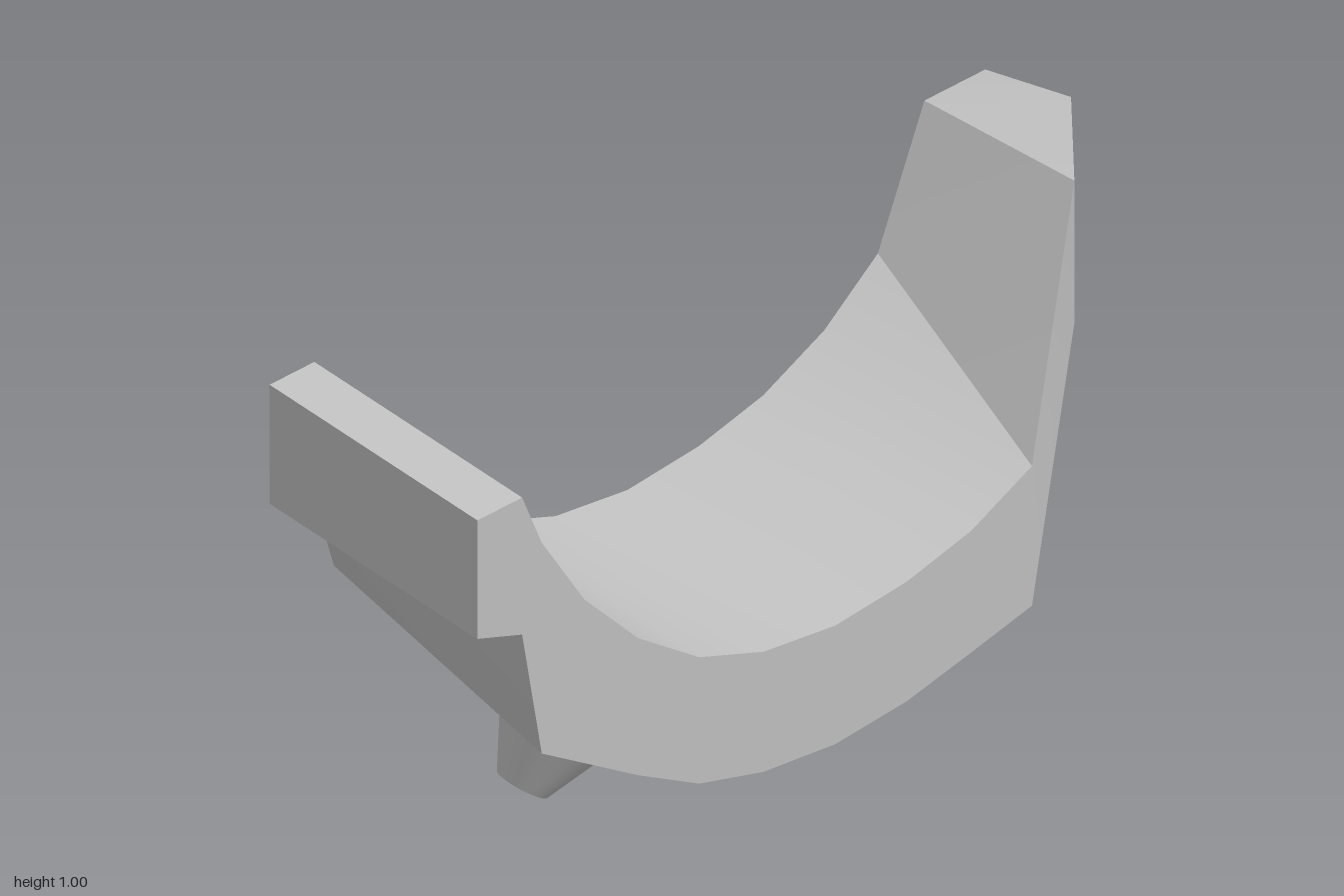
import * as THREE from 'three';
import { toCreasedNormals } from 'three/addons/utils/BufferGeometryUtils.js';

const grey = new THREE.MeshStandardMaterial({ color: 0xbdbdbd });
grey.name = 'plain grey';

const HALF = 0.23; // half width of the cradle

// Curved cradle: skewed cross-sections on both sides, then a chamfered rear horn
function cradleGeometry() {
  const zs = [1, 0.875, 0.82, 0.7, 0.55, 0.38, 0.2, 0, -0.2, -0.38, -0.55];
  const innerY = [0.865, 0.865, 0.76, 0.61, 0.485, 0.39, 0.338, 0.318, 0.332, 0.366, 0.43];
  const outerHighY = [0.77, 0.735, 0.59, 0.505, 0.42, 0.335, 0.285, 0.262, 0.257, 0.258, 0.263];
  const outerLowY = [0.64, 0.605, 0.36, 0.3, 0.225, 0.15, 0.11, 0.093, 0.105, 0.135, 0.165];
  const row = (x, ys, lift = 0) => zs.map((z, i) => [x, ys[i] + lift, z]);
  const At = row(-HALF, innerY, 0.131), Bt = row(HALF, innerY);
  const Ab = row(-HALF, outerHighY), Bb = row(HALF, outerLowY);

  const positions = [];
  const face = (...pts) => {
    for (let i = 1; i < pts.length - 1; i++) positions.push(...pts[0], ...pts[i], ...pts[i + 1]);
  };

  // front lip and arc
  face(At[0], Ab[0], Bb[0], Bt[0]);
  for (let i = 0; i < zs.length - 1; i++) {
    const j = i + 1;
    face(At[i], Bt[i], Bt[j], At[j]);
    face(Ab[i], Ab[j], Bb[j], Bb[i]);
    face(Bt[i], Bb[i], Bb[j], Bt[j]);
    face(At[i], At[j], Ab[j], Ab[i]);
  }

  // rear horn: upper points p, lower points q
  const n = zs.length - 1;
  const p1 = [-HALF, 0.655, -0.7], p2 = [-HALF, 0.9, -0.83], p3 = [-HALF, 0.9, -1];
  const p4 = [-0.04, 0.9, -1], p5 = [0.11, 0.845, -0.82];
  const q1 = [-HALF, 0.27, -0.695], q2 = [-HALF, 0.655, -0.81], q3 = [-HALF, 0.69, -1];
  const q4 = [-0.04, 0.83, -1], q5 = [0.11, 0.575, -0.82];
  face(At[n], Bt[n], p1);
  face(p1, Bt[n], p5, p2);
  face(p2, p5, p4, p3);
  face(Bt[n], Bb[n], q5, p5);
  face(p5, q5, q4, p4);
  face(p4, q4, q3, p3);
  face(q2, q3, q4);
  face(Bb[n], Ab[n], q1);
  face(Bb[n], q1, q2, q4, q5);
  face(At[n], p1, q1, Ab[n]);
  face(p1, p2, q2, q1);
  face(p2, p3, q3, q2);

  const geo = new THREE.BufferGeometry();
  geo.setAttribute('position', new THREE.Float32BufferAttribute(positions, 3));
  return toCreasedNormals(geo, 0.45);
}

// Cylinder or cone frustum from a base point along an axis
function rod(name, rBase, rEnd, base, axis, length) {
  const dir = axis.clone().normalize();
  const mesh = new THREE.Mesh(new THREE.CylinderGeometry(rEnd, rBase, length, 32), grey);
  mesh.name = name;
  mesh.quaternion.setFromUnitVectors(new THREE.Vector3(0, 1, 0), dir);
  mesh.position.copy(base).addScaledVector(dir, length / 2);
  return mesh;
}

// Push-in peg: tapered head on a short stem
function peg(name, tip, headAxis, stemAxis) {
  const group = new THREE.Group();
  group.name = name;
  const headTop = tip.clone().addScaledVector(headAxis.clone().normalize(), 0.097);
  const stemBase = headTop.clone().addScaledVector(stemAxis.clone().normalize(), -0.025);
  group.add(rod('pegHead', 0.05, 0.096, tip, headAxis, 0.097));
  group.add(rod('pegStem', 0.06, 0.06, stemBase, stemAxis, 0.17));
  return group;
}

export function createModel() {
  const model = new THREE.Group();
  model.name = 'clipCradle';
  const cradle = new THREE.Mesh(cradleGeometry(), grey);
  cradle.name = 'cradle';
  model.add(cradle);
  const v = (x, y, z) => new THREE.Vector3(x, y, z);
  model.add(peg('rearPeg', v(-0.029, 0.015, -0.18), v(0.287, 0.958, 0), v(0, 1, 0)));
  model.add(peg('frontPeg', v(-0.027, 0.138, 0.55), v(0.27, 0.88, -0.42), v(0, 0.9, -0.43)));
  return model;
}
